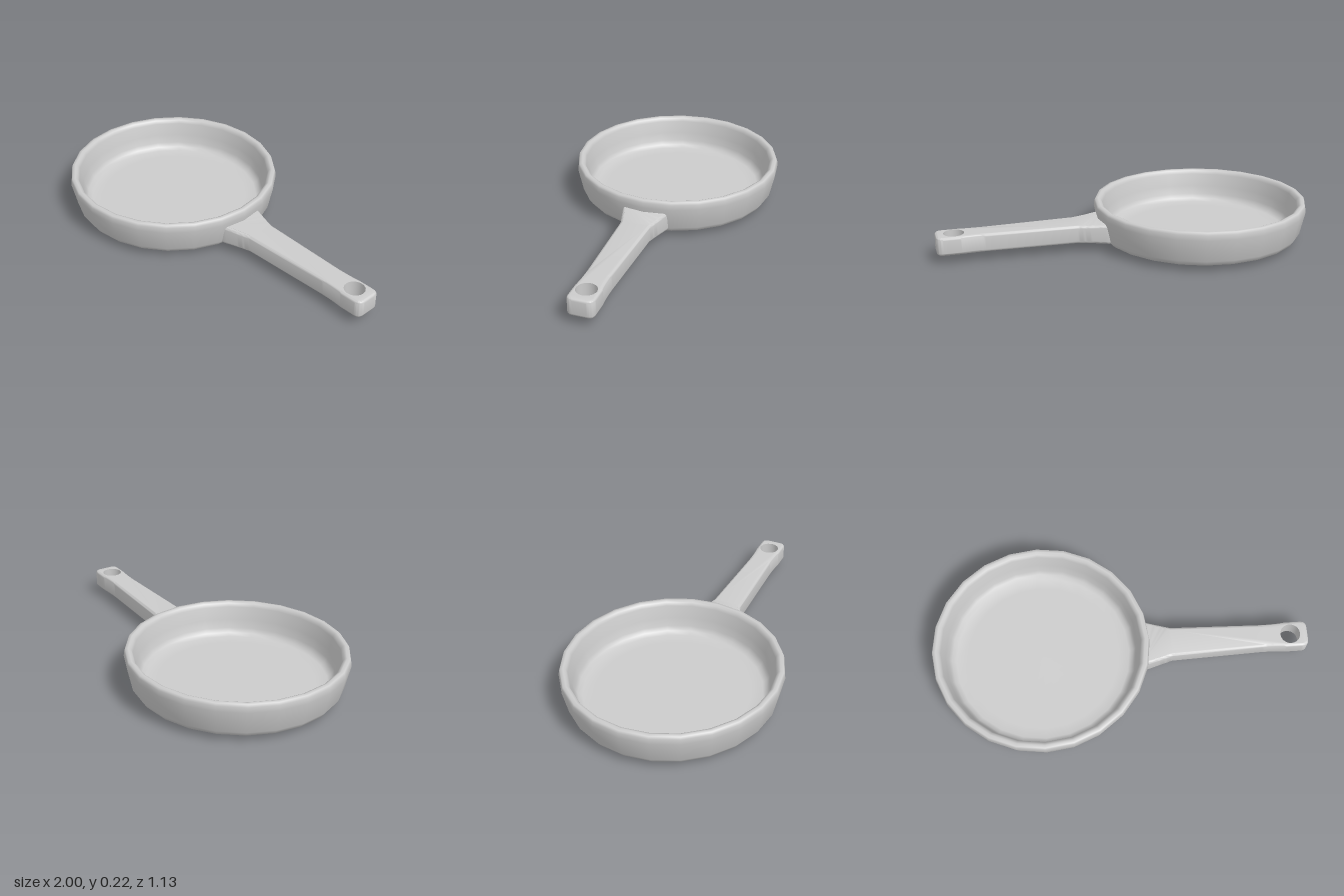
import * as THREE from 'three';
import { toCreasedNormals } from 'three/addons/utils/BufferGeometryUtils.js';

const material = new THREE.MeshStandardMaterial({ color: 0xcccccc });

// Closed wall and floor section, from the underside centre over the rim to the inside centre
function makePan() {
  const section = [
    [0, 0.001], [0.34, 0.003], [0.443, 0.009], [0.49, 0.021], [0.52, 0.034], [0.538, 0.06],
    [0.553, 0.13], [0.564, 0.18], [0.561, 0.207], [0.556, 0.22], [0.54, 0.222],
    [0.527, 0.216], [0.518, 0.198], [0.503, 0.13], [0.493, 0.084], [0.48, 0.06],
    [0.458, 0.047], [0.4, 0.043], [0, 0.043],
  ].map(([r, y]) => new THREE.Vector2(r, y));
  // The bowl is very slightly longer along the handle than across it
  const geometry = new THREE.LatheGeometry(section, 24).scale(1.02, 1, 1);
  const pan = new THREE.Mesh(geometry, material);
  pan.name = 'pan';
  pan.position.x = -0.425;
  return pan;
}

// Rounded bar that flares into the pan wall and has a hanging hole near its end
function makeHandle() {
  const bevel = 0.014;
  const thickness = 0.097;
  const holeX = 0.906;
  const holeRadius = 0.053;

  const outline = new THREE.Shape();
  outline.moveTo(0.09, -0.126);
  outline.lineTo(0.118, -0.124);
  outline.quadraticCurveTo(0.2, -0.1, 0.27, -0.08);
  outline.lineTo(0.75, -0.064);
  outline.quadraticCurveTo(0.84, -0.064, 0.88, -0.07);
  outline.lineTo(0.965, -0.07);
  outline.quadraticCurveTo(1, -0.07, 1, -0.035);
  outline.lineTo(1, 0.035);
  outline.quadraticCurveTo(1, 0.07, 0.965, 0.07);
  outline.lineTo(0.88, 0.07);
  outline.quadraticCurveTo(0.84, 0.064, 0.75, 0.064);
  outline.lineTo(0.27, 0.08);
  outline.quadraticCurveTo(0.2, 0.1, 0.118, 0.124);
  outline.lineTo(0.09, 0.126);
  outline.closePath();
  outline.holes.push(new THREE.Path().absarc(holeX, 0, holeRadius - bevel, 0, Math.PI * 2, true));

  const geometry = new THREE.ExtrudeGeometry(outline, {
    depth: thickness - 2 * bevel, curveSegments: 12,
    bevelThickness: bevel, bevelSize: bevel, bevelOffset: -bevel, bevelSegments: 4,
  });
  geometry.translate(0, 0, bevel - thickness / 2);
  geometry.rotateX(Math.PI / 2);

  const p = geometry.attributes.position;
  for (let i = 0; i < p.count; i++) {
    // Straighten the wall of the hole
    const x = p.getX(i), z = p.getZ(i);
    const r = Math.hypot(x - holeX, z);
    if (r < holeRadius + 0.001) {
      p.setX(i, holeX + (x - holeX) * holeRadius / r);
      p.setZ(i, z * holeRadius / r);
    }
    // Thicken the root a little and let the bar drop slightly towards its end
    const root = THREE.MathUtils.clamp((0.22 - x) / 0.12, 0, 1);
    p.setY(i, p.getY(i) * (1 + 0.12 * root) + 0.102 - 0.004 * x);
  }
  const handle = new THREE.Mesh(toCreasedNormals(geometry, 0.9), material);
  handle.name = 'handle';
  return handle;
}

export function createModel() {
  const model = new THREE.Group();
  model.name = 'fryingPan';
  model.add(makePan(), makeHandle());
  return model;
}
